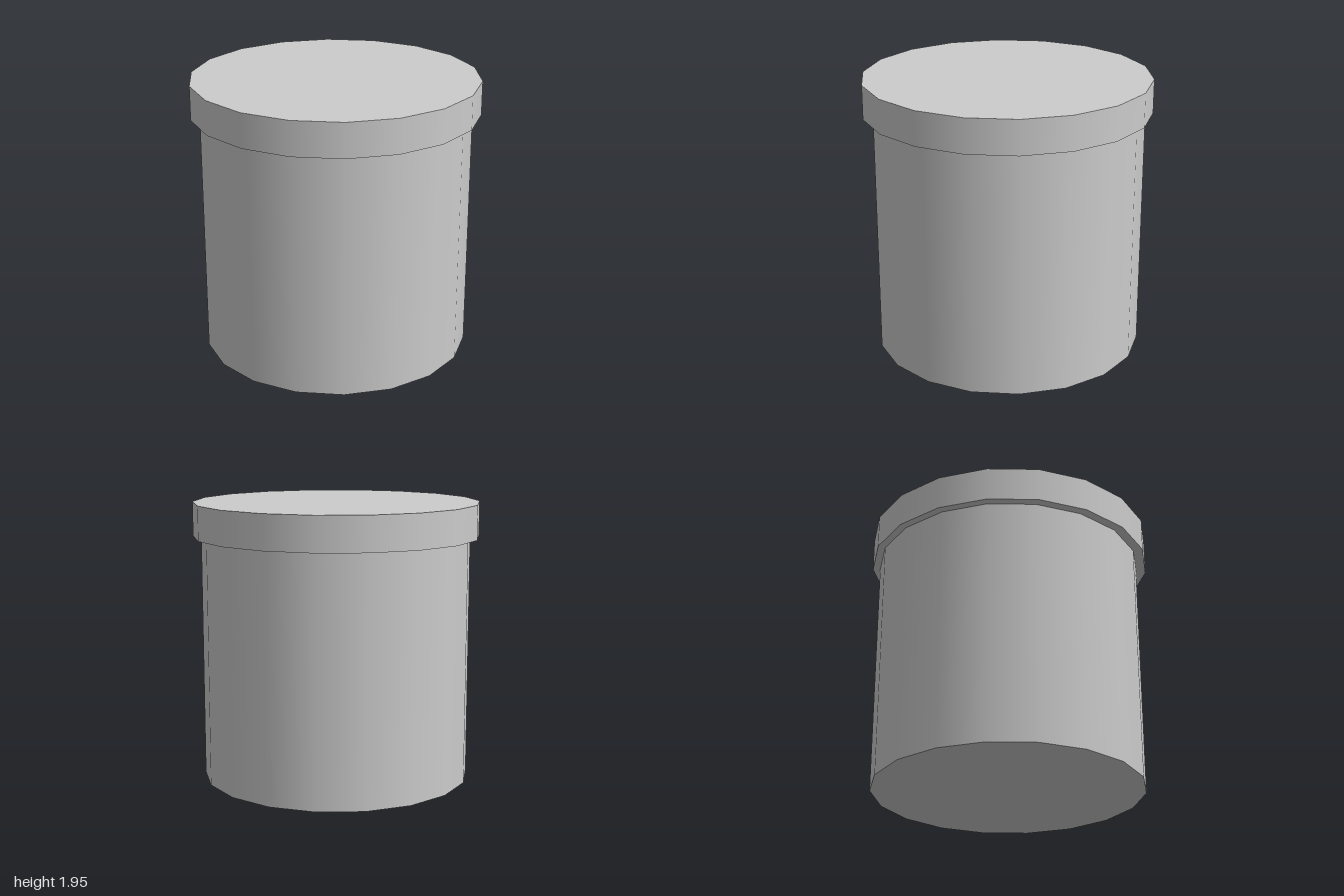
import * as THREE from 'three';

const SIDES = 18;

export function createModel() {
  const group = new THREE.Group();
  group.name = 'lidded canister';
  const material = new THREE.MeshStandardMaterial({ color: 0xcccccc });

  // Closed drum between two heights, with a corner on the x axis
  function drum(name, radius, bottom, top, z = 0) {
    const geometry = new THREE.CylinderGeometry(
      radius, radius, top - bottom, SIDES, 1, false, Math.PI / 2);
    const mesh = new THREE.Mesh(geometry, material);
    mesh.name = name;
    mesh.position.set(0, (bottom + top) / 2, z);
    group.add(mesh);
  }

  // Body reaches a little way into the lid
  drum('body', 0.94, 0, 1.75, -0.008);
  // Wider lid overhanging the body
  drum('lid', 1, 1.707, 1.945);

  return group;
}
